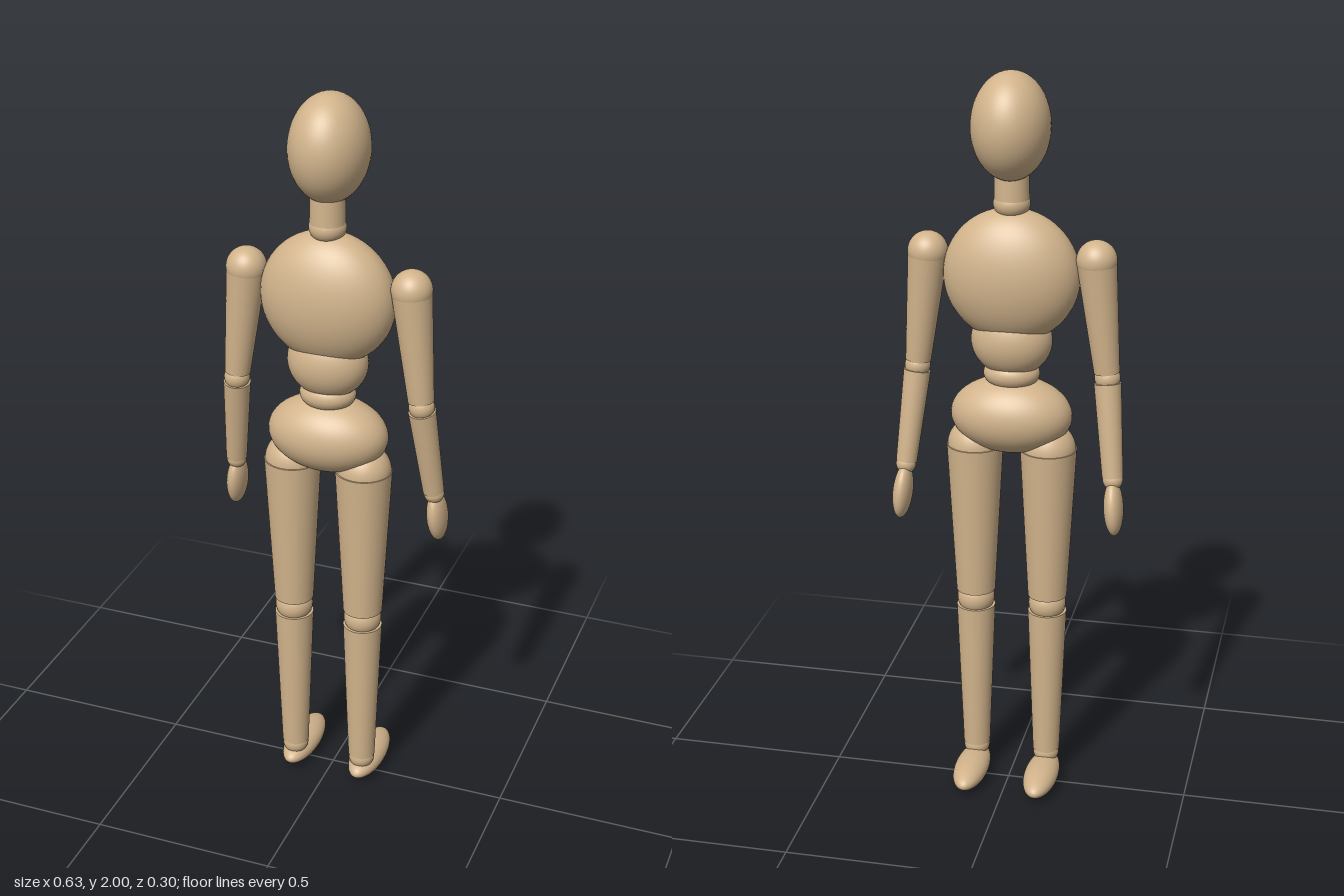
import * as THREE from 'three';

const wood = new THREE.MeshStandardMaterial({ color: 0xd2b48c });
wood.name = 'wood';
const UP = new THREE.Vector3(0, 1, 0);

function addMesh(parent, name, geometry, position) {
  const mesh = new THREE.Mesh(geometry, wood);
  mesh.name = name;
  mesh.position.set(...position);
  parent.add(mesh);
  return mesh;
}

// Ellipsoid with the given centre and radii
function ball(parent, name, position, radii) {
  return addMesh(parent, name, new THREE.SphereGeometry(1, 48, 32).scale(...radii), position);
}

// Tapered limb between two points, its upper end first
function limb(parent, name, top, bottom, rTop, rBottom) {
  const a = new THREE.Vector3(...top), b = new THREE.Vector3(...bottom);
  const axis = a.clone().sub(b);
  const geometry = new THREE.CylinderGeometry(rTop, rBottom, axis.length(), 48);
  const mesh = addMesh(parent, name, geometry, a.add(b).multiplyScalar(0.5).toArray());
  mesh.quaternion.setFromUnitVectors(UP, axis.normalize());
  return mesh;
}

function makeArm(s) {
  const arm = new THREE.Group();
  arm.name = s > 0 ? 'leftArm' : 'rightArm';
  ball(arm, 'shoulder', [s * 0.222, 1.522, 0.038], [0.053, 0.053, 0.053]);
  limb(arm, 'upperArm', [s * 0.222, 1.518, 0.038], [s * 0.253, 1.222, 0.04], 0.052, 0.034);
  ball(arm, 'elbow', [s * 0.255, 1.206, 0.04], [0.034, 0.034, 0.034]);
  limb(arm, 'forearm', [s * 0.256, 1.192, 0.038], [s * 0.28, 0.945, -0.001], 0.036, 0.028);
  ball(arm, 'wrist', [s * 0.281, 0.938, -0.003], [0.027, 0.027, 0.027]);
  const hand = ball(arm, 'hand', [s * 0.287, 0.864, -0.019], [0.026, 0.075, 0.047]);
  hand.quaternion.setFromUnitVectors(UP, new THREE.Vector3(s * -0.08, 1, 0.17).normalize());
  return arm;
}

function makeLeg(s) {
  const leg = new THREE.Group();
  leg.name = s > 0 ? 'leftLeg' : 'rightLeg';
  const x = s * 0.1, z = 0.04;
  ball(leg, 'hip', [x, 0.993, z], [0.074, 0.074, 0.072]);
  limb(leg, 'thigh', [x, 0.995, z], [x, 0.565, z], 0.076, 0.053);
  ball(leg, 'knee', [x, 0.541, z], [0.051, 0.051, 0.051]);
  limb(leg, 'shin', [x, 0.518, z], [x, 0.085, z], 0.053, 0.037);
  ball(leg, 'ankle', [x, 0.075, z], [0.036, 0.036, 0.036]);
  // Feet point towards -z
  ball(leg, 'foot', [x, 0.036, -0.028], [0.047, 0.036, 0.12]);
  return leg;
}

export function createModel() {
  const figure = new THREE.Group();
  figure.name = 'jointedFigure';

  // Head and neck
  ball(figure, 'head', [0, 1.861, 0.027], [0.102, 0.139, 0.12]);
  limb(figure, 'neck', [0, 1.76, 0.04], [0, 1.665, 0.04], 0.044, 0.046);
  ball(figure, 'neckJoint', [0, 1.66, 0.04], [0.048, 0.04, 0.048]);

  // Torso
  ball(figure, 'chest', [0, 1.47, 0.038], [0.18, 0.178, 0.108]);
  ball(figure, 'abdomen', [0, 1.295, 0.04], [0.108, 0.098, 0.082]);
  ball(figure, 'waist', [0, 1.203, 0.04], [0.075, 0.045, 0.063]);
  ball(figure, 'pelvis', [0, 1.088, 0.038], [0.163, 0.104, 0.108]);

  // Mirrored limbs
  for (const s of [-1, 1]) figure.add(makeArm(s), makeLeg(s));
  return figure;
}
